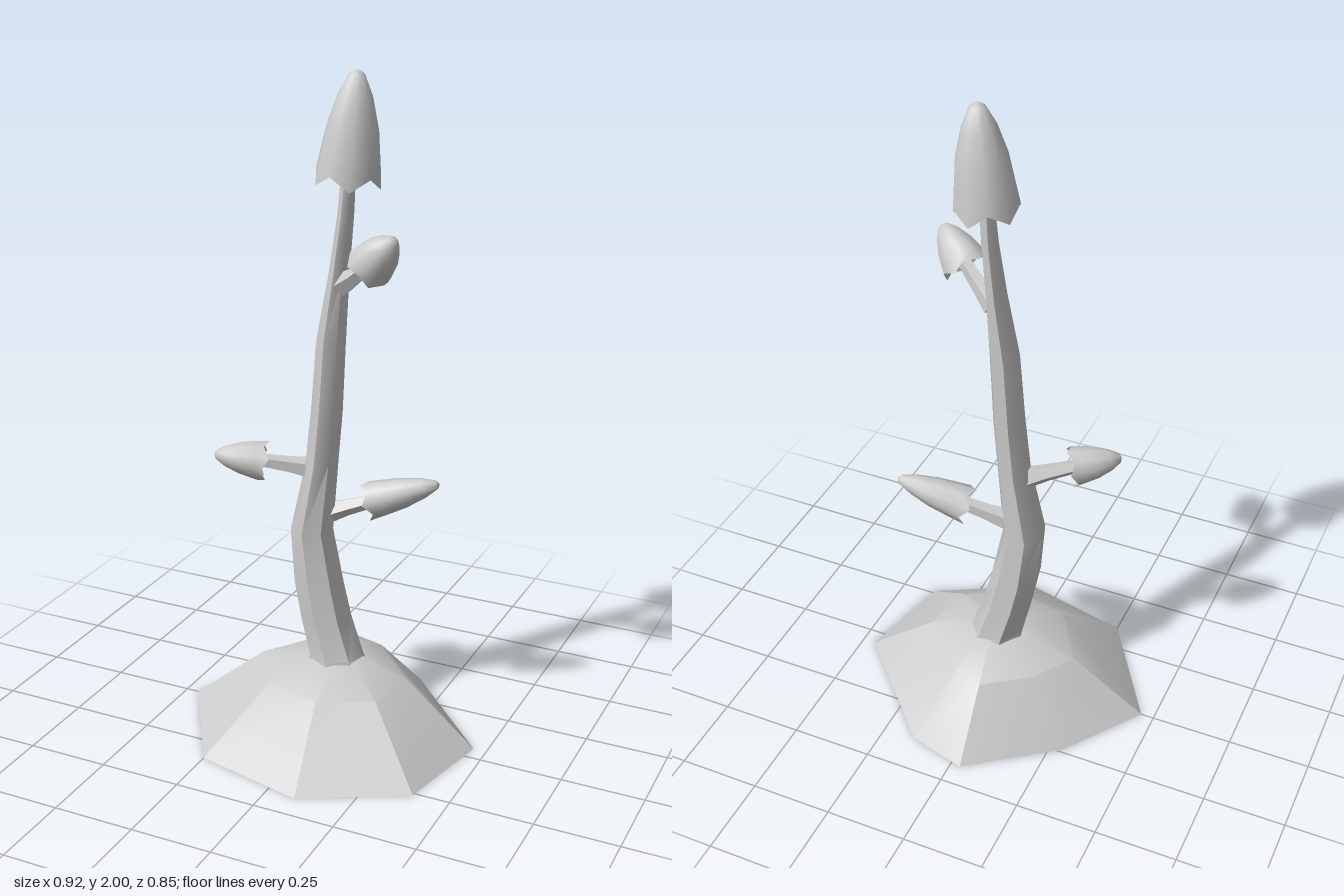
import * as THREE from 'three';
import { toCreasedNormals } from 'three/addons/utils/BufferGeometryUtils.js';

const V = (x, y, z) => new THREE.Vector3(x, y, z);
const material = new THREE.MeshStandardMaterial({ color: 0xcccccc });

// Skin a list of equal-length rings (counter-clockwise about their travel) and close both ends.
function loft(name, rings, crease) {
  const n = rings[0].length, index = [];
  const middle = (ring) => ring.reduce((s, p) => s.add(p), V(0, 0, 0)).divideScalar(n);
  const points = rings.flat();
  const start = points.length, end = start + 1, last = (rings.length - 1) * n;
  points.push(middle(rings[0]), middle(rings[rings.length - 1]));
  for (let i = 0; i < n; i++) {
    const j = (i + 1) % n;
    for (let a = 0; a < last; a += n) {
      index.push(a + i, a + j, a + n + j, a + i, a + n + j, a + n + i);
    }
    index.push(start, j, i, end, last + i, last + j);
  }
  const geometry = new THREE.BufferGeometry().setFromPoints(points);
  geometry.setIndex(index);
  const mesh = new THREE.Mesh(toCreasedNormals(geometry, crease), material);
  mesh.name = name;
  return mesh;
}

// Ring of n points around a centre, facing dir; lift shifts each point along dir.
function ring(centre, dir, rx, rz, n, lift = () => 0) {
  const w = dir.clone().normalize();
  const u = Math.abs(w.x) > 0.9 ? V(0, 1, 0) : V(1, 0, 0);
  u.addScaledVector(w, -u.dot(w)).normalize();
  const v = w.clone().cross(u);
  return Array.from({ length: n }, (_, i) => {
    const a = ((i + 0.25) / n) * Math.PI * 2;
    return centre.clone().addScaledVector(u, rx * Math.cos(a))
      .addScaledVector(v, rz * Math.sin(a)).addScaledVector(w, lift(i));
  });
}

// Bell-shaped cap with a scalloped rim and a hollow underside.
function cap(name, base, tip, radius) {
  const dir = tip.clone().sub(base), length = dir.length();
  const scallop = (i) => (i % 2 ? 0.3 * radius : -0.1 * radius);
  // [position along axis, radius factor, share of the scallop]
  const profile = [
    [0.3, 0.3, 0], [0.2, 0.75, 0.5], [0, 1.05, 1],
    [0.22, 0.96, 0.4], [0.5, 0.82, 0], [0.78, 0.55, 0], [0.97, 0.24, 0], [1, 0.08, 0],
  ];
  return loft(name, profile.map(([t, r, s]) =>
    ring(base.clone().addScaledVector(dir, t), dir, radius * r, radius * r, 10,
      (i) => s * scallop(i) * Math.min(1, length / 0.2))), 0.85);
}

// Side stem ending in a small cap.
function sprout(name, root, base, tip, radius) {
  const group = new THREE.Group();
  group.name = name;
  const inside = base.clone().lerp(tip, 0.4), dir = inside.clone().sub(root);
  group.add(loft('sideStem', [
    ring(root, dir, 0.035, 0.035, 5),
    ring(root.clone().lerp(base, 0.5), dir, 0.026, 0.026, 5),
    ring(inside, dir, 0.018, 0.018, 5),
  ], 0.6));
  group.add(cap('sideCap', base, tip, radius));
  return group;
}

export function createModel() {
  const model = new THREE.Group();
  model.name = 'cappedStalk';

  // Faceted mound
  const outline = [
    [0.46, -0.05], [0.15, -0.38], [-0.03, -0.43], [-0.29, -0.24],
    [-0.46, 0], [-0.25, 0.34], [0.09, 0.42], [0.39, 0.26],
  ];
  const layer = (y, s, dx, dz) => outline.map(([x, z]) => V(x * s + dx, y, z * s + dz));
  model.add(loft('mound', [
    layer(0, 1, 0, 0), layer(0.18, 0.52, 0, -0.03), layer(0.235, 0.17, 0.02, -0.03),
  ], 0.45));

  // Curved trunk: [y, x, z, half width in x, half width in z]
  const trunk = [
    [0.2, 0.025, -0.03, 0.095, 0.095], [0.24, 0.015, -0.03, 0.083, 0.087],
    [0.36, -0.02, -0.03, 0.077, 0.082], [0.47, -0.043, -0.028, 0.075, 0.077],
    [0.64, -0.066, -0.028, 0.063, 0.072], [0.86, -0.032, -0.028, 0.047, 0.06],
    [1.02, -0.016, -0.027, 0.045, 0.058], [1.24, -0.002, -0.027, 0.041, 0.054],
    [1.44, 0.022, -0.03, 0.027, 0.044], [1.6, 0.039, -0.033, 0.022, 0.034],
    [1.82, 0.055, -0.03, 0.018, 0.02],
  ];
  model.add(loft('trunk', trunk.map(([y, x, z, rx, rz]) =>
    ring(V(x, y, z), V(0, 1, 0), rx, rz, 7)), 0.85));

  // Caps
  model.add(cap('topCap', V(0.048, 1.695, -0.027), V(0.075, 2, -0.027), 0.09));
  model.add(sprout('upperLeftSprout',
    V(0.03, 1.4, -0.02), V(0.135, 1.475, 0.025), V(0.225, 1.57, 0.06), 0.066));
  model.add(sprout('rightSprout',
    V(-0.06, 0.83, -0.02), V(-0.18, 0.86, 0.05), V(-0.31, 0.885, 0.12), 0.058));
  model.add(sprout('lowerLeftSprout',
    V(-0.03, 0.685, -0.05), V(0.09, 0.728, -0.085), V(0.295, 0.8, -0.135), 0.055));
  return model;
}
